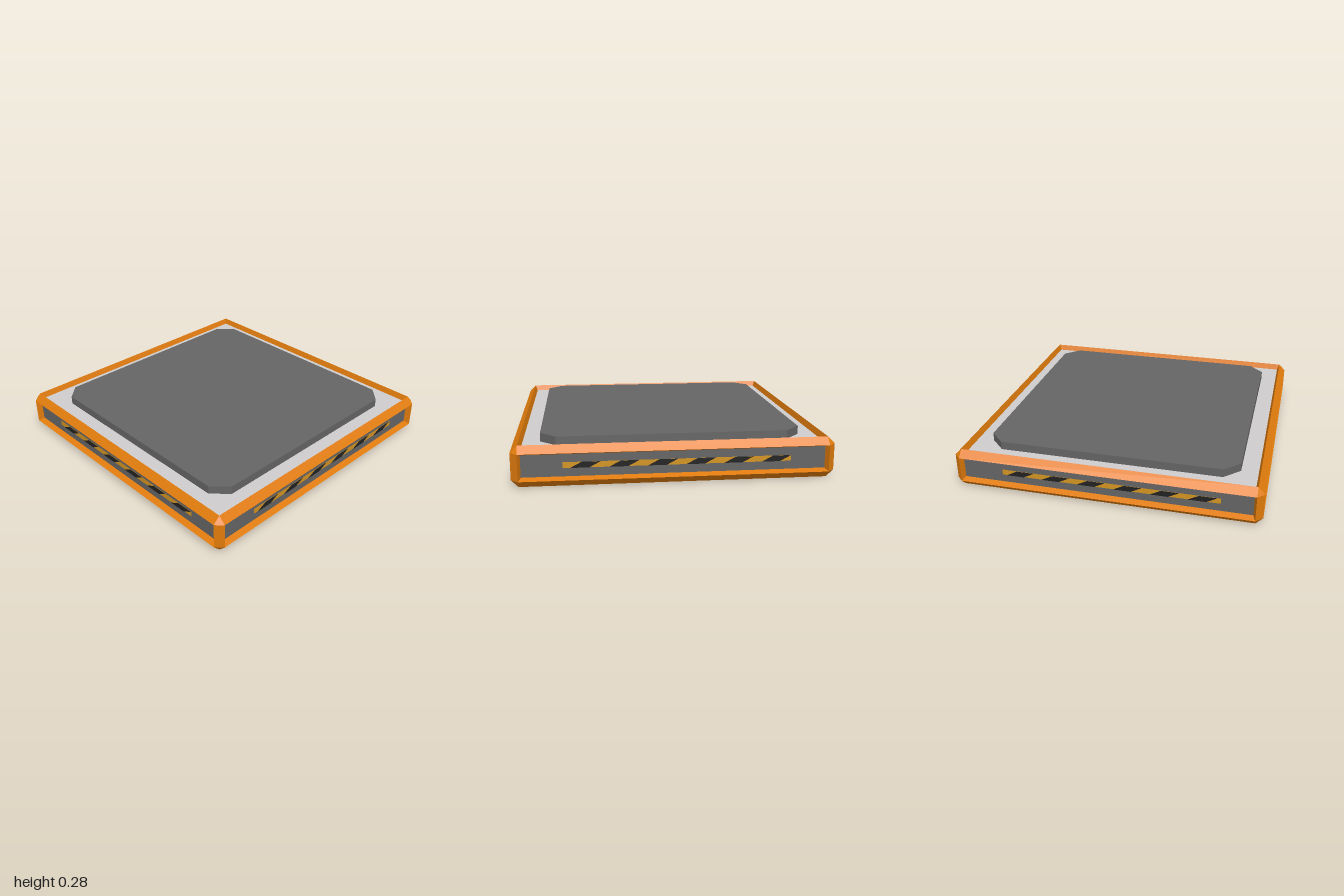
import * as THREE from 'three';

const HALF = [1, 0.13, 1];   // half sizes of the frame
const CHAMFER = 0.045;
const SLOPE = 0.015;         // inward lean of the recess walls
const DEPTH = 0.04;          // depth of the recesses

// Flat polygon soup; each face is turned to look along its hint direction
function facesGeometry(faces) {
  const pos = [];
  for (const { pts, hint } of faces) {
    const v = pts.map((p) => new THREE.Vector3(...p));
    const n = v[1].clone().sub(v[0]).cross(v[2].clone().sub(v[0]));
    if (n.dot(new THREE.Vector3(...hint)) < 0) v.reverse();
    for (let i = 1; i < v.length - 1; i++) {
      for (const p of [v[0], v[i], v[i + 1]]) pos.push(p.x, p.y, p.z);
    }
  }
  const g = new THREE.BufferGeometry();
  g.setAttribute('position', new THREE.Float32BufferAttribute(pos, 3));
  g.computeVertexNormals();
  return g;
}

// Rectangle across one axis, inset from the frame's outer size
function rect(axis, sign, depth, inset) {
  const a = (axis + 1) % 3, b = (axis + 2) % 3;
  return [[-1, -1], [1, -1], [1, 1], [-1, 1]].map(([s, t]) => {
    const p = [0, 0, 0];
    p[axis] = sign * (HALF[axis] - depth);
    p[a] = s * (HALF[a] - inset);
    p[b] = t * (HALF[b] - inset);
    return p;
  });
}

// Chamfered cage: edge bevels, corner triangles and recess walls
function frameGeometry() {
  const faces = [];
  const corner = (s, axis) => s.map((k, i) => k * (HALF[i] - (i === axis ? 0 : CHAMFER)));
  for (let axis = 0; axis < 3; axis++) {
    const a = (axis + 1) % 3, b = (axis + 2) % 3;
    for (const s of [-1, 1]) {
      for (const t of [-1, 1]) {
        const lo = [0, 0, 0], hi = [0, 0, 0], hint = [0, 0, 0];
        lo[axis] = -1; hi[axis] = 1;
        lo[a] = hi[a] = hint[a] = s;
        lo[b] = hi[b] = hint[b] = t;
        faces.push({ pts: [corner(lo, a), corner(hi, a), corner(hi, b), corner(lo, b)], hint });
      }
      const outer = rect(axis, s, 0, CHAMFER);
      const inner = rect(axis, s, DEPTH, CHAMFER + SLOPE);
      for (let i = 0; i < 4; i++) {
        const j = (i + 1) % 4;
        const hint = outer[i].map((v, k) => (k === axis ? 0 : -(v + outer[j][k])));
        faces.push({ pts: [outer[i], outer[j], inner[j], inner[i]], hint });
      }
    }
  }
  for (const x of [-1, 1]) for (const y of [-1, 1]) for (const z of [-1, 1]) {
    const s = [x, y, z];
    faces.push({ pts: [0, 1, 2].map((i) => corner(s, i)), hint: s });
  }
  return facesGeometry(faces);
}

function panelGeometry(axis, sign) {
  const hint = [0, 0, 0];
  hint[axis] = sign;
  return facesGeometry([{ pts: rect(axis, sign, DEPTH, CHAMFER + SLOPE), hint }]);
}

function polygon(points) {
  return new THREE.Shape(points.map(([x, y]) => new THREE.Vector2(x, y)));
}

export function createModel() {
  const mat = (name, color) => {
    const m = new THREE.MeshStandardMaterial({ color });
    m.name = name;
    return m;
  };
  const orange = mat('orange frame', 0xe07b0c);
  const grey = mat('dark grey', 0x656565);
  const light = mat('light grey', 0xcfcdcd);
  const yellow = mat('stripe yellow', 0xd39422);
  const black = mat('stripe black', 0x222222);

  const model = new THREE.Group();
  model.name = 'platform';
  const add = (parent, name, geometry, material) => {
    const m = new THREE.Mesh(geometry, material);
    m.name = name;
    parent.add(m);
    return m;
  };

  // Frame and recessed panels
  const base = new THREE.Group();
  base.name = 'base';
  base.position.y = HALF[1];
  model.add(base);
  add(base, 'frame', frameGeometry(), orange);
  add(base, 'topPanel', panelGeometry(1, 1), light);
  add(base, 'bottomPanel', panelGeometry(1, -1), grey);
  for (const axis of [0, 2]) {
    for (const s of [-1, 1]) add(base, 'sidePanel', panelGeometry(axis, s), grey);
  }

  // Raised deck with cut corners
  const w = 0.83, c = 0.73;
  const deckShape = polygon([[w, -c], [w, c], [c, w], [-c, w], [-w, c], [-w, -c], [-c, -w], [c, -w]]);
  const deckGeometry = new THREE.ExtrudeGeometry(deckShape, { depth: 0.065, bevelEnabled: false });
  deckGeometry.rotateX(-Math.PI / 2);
  add(model, 'deck', deckGeometry, grey).position.y = 0.21;

  // Hazard stripes on all four sides
  const y0 = 0.113, y1 = 0.15, shear = 0.07, dark = 0.115, pitch = 0.236;
  const bars = [];
  for (let i = 0; i < 6; i++) {
    const x = -0.645 + i * pitch;
    bars.push(polygon([[x, y0], [x + dark, y0], [x + dark + shear, y1], [x + shear, y1]]));
  }
  for (let k = 0; k < 4; k++) {
    const side = new THREE.Group();
    side.name = 'hazardStrip';
    side.rotation.y = k * Math.PI / 2;
    model.add(side);
    const [left, right] = k % 2 ? [-0.69, 0.72] : [-0.675, 0.74];
    const strip = polygon([[left, y0], [right, y0], [right, y1], [left, y1]]);
    add(side, 'yellowStrip', new THREE.ShapeGeometry(strip), yellow).position.z = 0.963;
    add(side, 'blackBars', new THREE.ShapeGeometry(bars), black).position.z = 0.966;
  }
  return model;
}
